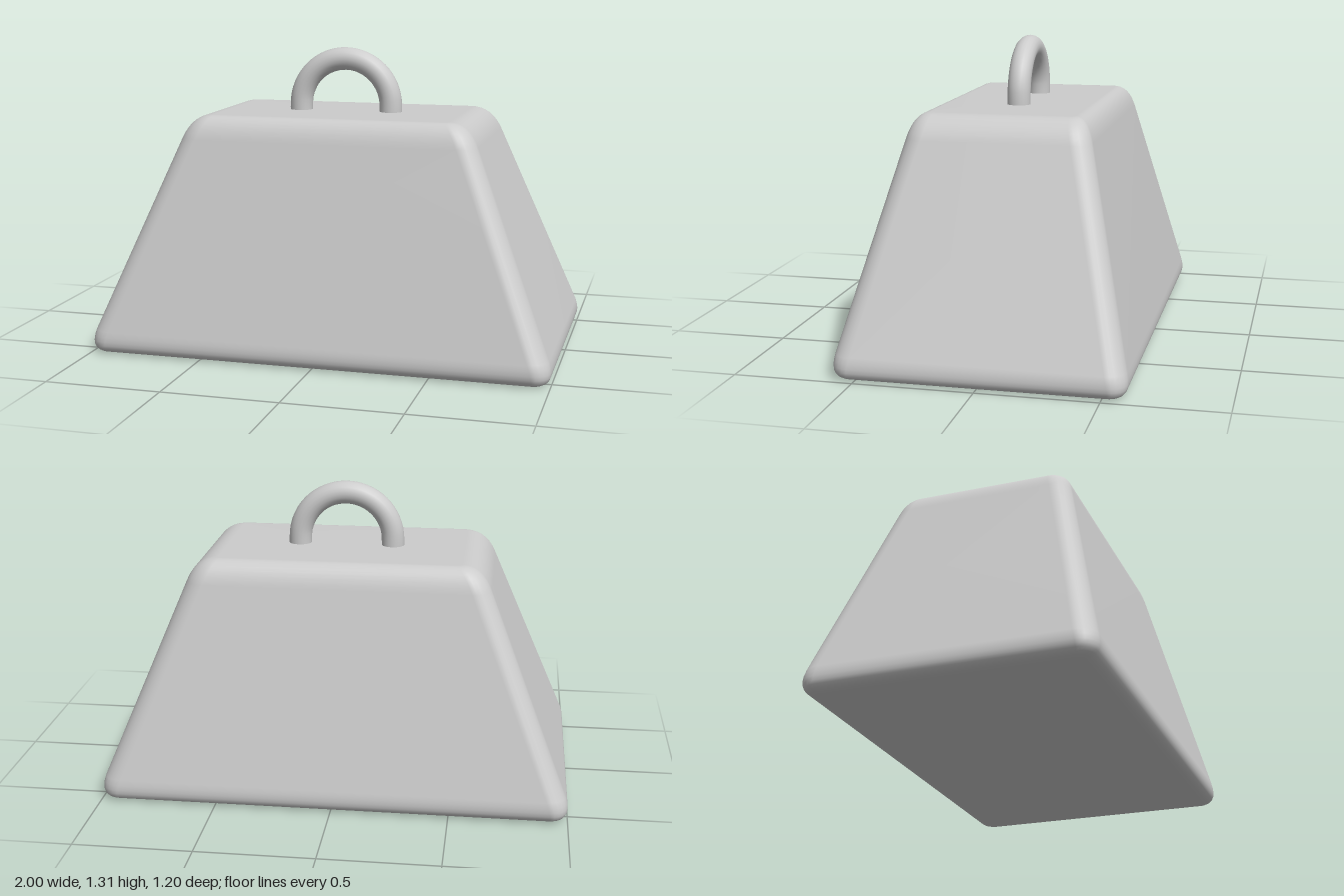
import * as THREE from 'three';

const material = new THREE.MeshStandardMaterial({ color: 0xcccccc });
const CORNER_STEPS = 6;
const FILLET_STEPS = 8;

// Cross-section levels along one rounded edge: [half width, half depth, height, corner radius]
function fillet(a, b, c) {
  const curve = (i, t) => (1 - t) ** 2 * a[i] + 2 * t * (1 - t) * b[i] + t * t * c[i];
  return Array.from({ length: FILLET_STEPS + 1 }, (_, k) => [0, 1, 2, 3].map((i) => curve(i, k / FILLET_STEPS)));
}

// Tapered block lofted through rounded rectangles, closed at both ends
function taperedBlock(levels) {
  const positions = [];
  const index = [];
  const n = 4 * (CORNER_STEPS + 1);
  for (const [w, d, y, r] of levels) {
    for (let q = 0; q < 4; q++) {
      const sx = q === 0 || q === 3 ? 1 : -1;
      const sz = q < 2 ? 1 : -1;
      for (let k = 0; k <= CORNER_STEPS; k++) {
        const a = (q + k / CORNER_STEPS) * Math.PI / 2;
        positions.push(sx * (w - r) + r * Math.cos(a), y, sz * (d - r) + r * Math.sin(a));
      }
    }
  }
  for (let j = 0; j < levels.length - 1; j++) {
    for (let i = 0; i < n; i++) {
      const a = j * n + i;
      const b = j * n + (i + 1) % n;
      index.push(a, a + n, b, b, a + n, b + n);
    }
  }
  // flat bottom and top
  const last = (levels.length - 1) * n;
  const bottom = positions.length / 3;
  positions.push(0, levels[0][2], 0, 0, levels[levels.length - 1][2], 0);
  for (let i = 0; i < n; i++) {
    const next = (i + 1) % n;
    index.push(bottom, i, next, bottom + 1, last + next, last + i);
  }
  const geometry = new THREE.BufferGeometry();
  geometry.setAttribute('position', new THREE.Float32BufferAttribute(positions, 3));
  geometry.setIndex(index);
  geometry.computeVertexNormals();
  return geometry;
}

export function createModel() {
  const group = new THREE.Group();
  group.name = 'weight';

  // Body: rounded bottom edge, sloping sides, rounded top edge
  const body = new THREE.Mesh(taperedBlock([
    ...fillet([0.93, 0.53, 0, 0.02], [1.025, 0.618, 0, 0.08], [0.99, 0.593, 0.1, 0.08]),
    ...fillet([0.65, 0.39, 0.93, 0.08], [0.608, 0.365, 1.03, 0.08], [0.52, 0.305, 1.03, 0.02]),
  ]), material);
  body.name = 'body';
  group.add(body);

  // Handle: half ring on two short legs sunk into the top
  const radius = 0.205;
  const centreY = 1.055;
  const points = [new THREE.Vector3(radius, 0.98, 0)];
  for (let i = 0; i <= 16; i++) {
    const a = i / 16 * Math.PI;
    points.push(new THREE.Vector3(radius * Math.cos(a), centreY + radius * Math.sin(a), 0));
  }
  points.push(new THREE.Vector3(-radius, 0.98, 0));
  const handle = new THREE.Mesh(
    new THREE.TubeGeometry(new THREE.CatmullRomCurve3(points), 40, 0.05, 20), material);
  handle.name = 'handle';
  group.add(handle);

  return group;
}
